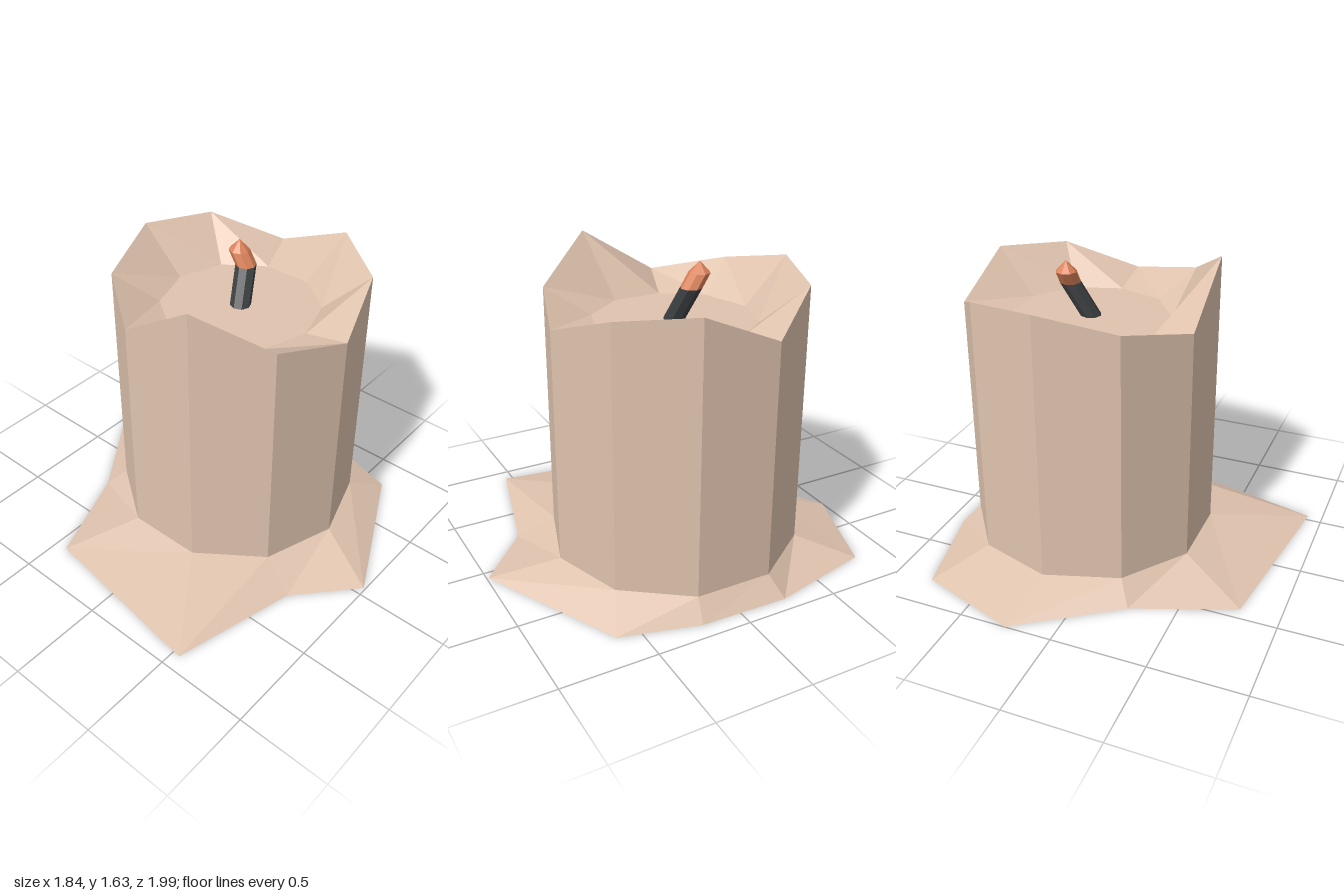
import * as THREE from 'three';

// Rings run back -> +x -> front. Consecutive rings are joined by flat facets;
// a single-point ring closes an end.
function skin(a, b, flip = false) {
  const n = Math.max(a.length, b.length);
  const at = (r, i) => r[i % r.length];
  const pos = [];
  const tri = (...p) => p.forEach(v => pos.push(...v));
  for (let i = 0; i < n; i++) {
    const a0 = at(a, i), a1 = at(a, i + 1), b0 = at(b, i), b1 = at(b, i + 1);
    if (b.length === 1) tri(a0, b0, a1);
    else if (a.length === 1) tri(b0, b1, a0);
    else if (flip) { tri(a0, b0, b1); tri(a0, b1, a1); }
    else { tri(a0, b0, a1); tri(b0, b1, a1); }
  }
  const g = new THREE.BufferGeometry();
  g.setAttribute('position', new THREE.Float32BufferAttribute(pos, 3));
  g.computeVertexNormals();
  return g;
}

function ring(sides, radius, x, y, z) {
  return Array.from({ length: sides }, (_, i) => {
    const t = (i / sides) * Math.PI * 2;
    return [x + radius * Math.sin(t), Array.isArray(y) ? y[i] : y, z - radius * Math.cos(t)];
  });
}

export function createModel() {
  const model = new THREE.Group();
  const mat = (name, color) => {
    const m = new THREE.MeshStandardMaterial({ color });
    m.name = name;
    return m;
  };
  const wax = mat('wax', 0xdfc3ae);
  const char = mat('charred wick', 0x3e4143);
  const ember = mat('ember orange', 0xdc835a);

  const add = (parent, name, geometry, material) => {
    const mesh = new THREE.Mesh(geometry, material);
    mesh.name = name;
    parent.add(mesh);
  };

  // Wax body: uneven rim, sunken pool, and a melted skirt
  const cx = 0.2, cz = -0.013;
  const rimHeights = [1.54, 1.5, 1.35, 1.53, 1.49, 1.35, 1.435, 1.63, 1.37, 1.45];
  const rim = ring(10, 0.66, cx, rimHeights, cz);
  const foot = ring(10, 0.66, cx, 0.105, cz);
  const pool = ring(10, 0.418, cx, 1.3, cz);
  const spill = [
    [0.25, -1], [0.79, -0.81], [0.92, -0.26], [0.91, 0.21], [0.8, 0.62],
    [0.05, 0.99], [-0.26, 0.71], [-0.92, 0.54], [-0.79, -0.43], [-0.26, -0.64],
  ].map(([x, z]) => [x, 0, z]);

  const candle = new THREE.Group();
  candle.name = 'candle';
  add(candle, 'underside', skin([[cx, 0, cz]], spill), wax);
  add(candle, 'meltedSkirt', skin(spill, foot), wax);
  add(candle, 'outerWall', skin(foot, rim), wax);
  add(candle, 'innerRim', skin(rim, pool, true), wax);
  add(candle, 'waxPool', skin(pool, [[cx, 1.3, cz]]), wax);
  model.add(candle);

  // Leaning wick with a pointed glowing tip
  const wickBase = ring(8, 0.055, 0.2, 1.3, -0.012);
  const wickTop = ring(8, 0.055, 0.292, 1.48, -0.055);
  const tipTop = ring(8, 0.055, 0.292, 1.55, -0.1);
  const wick = new THREE.Group();
  wick.name = 'wick';
  add(wick, 'wickStem', skin(wickBase, wickTop), char);
  add(wick, 'tipSide', skin(wickTop, tipTop), ember);
  add(wick, 'tipPoint', skin(tipTop, [[0.292, 1.607, -0.1]]), ember);
  model.add(wick);

  return model;
}
